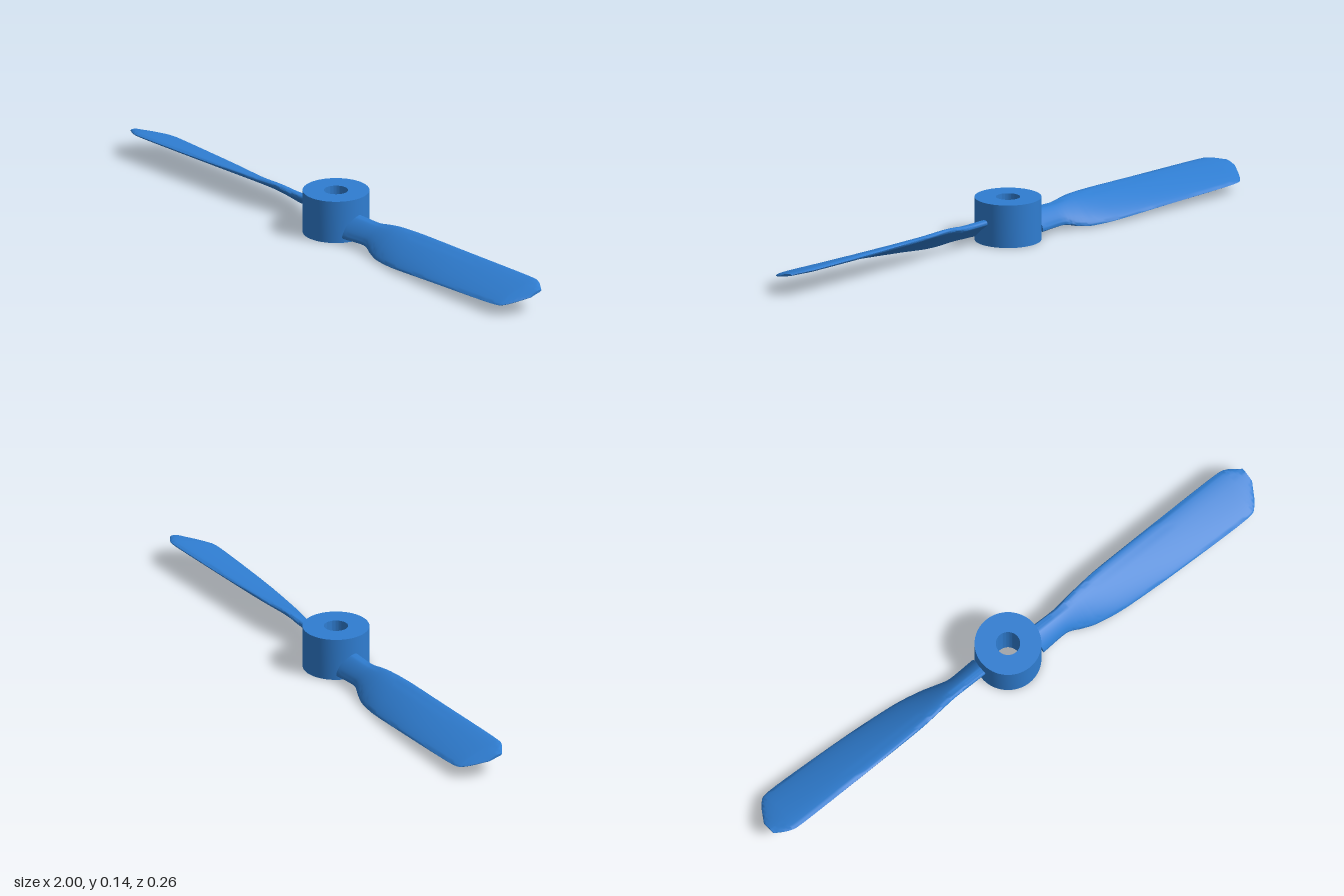
import * as THREE from 'three';
import { toCreasedNormals } from 'three/addons/utils/BufferGeometryUtils.js';

const HUB_RADIUS = 0.11, HUB_HEIGHT = 0.145, BORE_RADIUS = 0.04;

// Blade stations: x, front edge z and y, back edge z and y, thickness
const STATIONS = [
  [0.10, 0.062, 0.018, -0.014, 0.082, 0.026],
  [0.20, 0.058, 0.021, -0.014, 0.080, 0.025],
  [0.25, 0.075, 0.011, -0.018, 0.087, 0.023],
  [0.30, 0.092, 0.006, -0.024, 0.091, 0.022],
  [0.40, 0.110, 0.010, -0.033, 0.090, 0.020],
  [0.60, 0.123, 0.022, -0.038, 0.087, 0.018],
  [0.90, 0.130, 0.034, -0.042, 0.085, 0.015],
  [0.955, 0.112, 0.040, -0.034, 0.083, 0.013],
  [1.00, 0.045, 0.060, -0.005, 0.074, 0.008],
];

// Loft a twisted, slightly cambered section along x and cap both ends
function bladeGeometry(rings = 64, sides = 28) {
  const curve = (pick) => new THREE.CatmullRomCurve3(
    STATIONS.map(pick), false, 'catmullrom', 0.4);
  const front = curve((s) => new THREE.Vector3(s[0], s[2], s[1]));
  const back = curve((s) => new THREE.Vector3(s[0], s[4], s[3]));
  const thick = curve((s) => new THREE.Vector3(s[0], s[5], 0));
  const power = (v) => Math.sign(v) * Math.abs(v) ** 0.8;
  const positions = [], index = [];

  for (let i = 0; i <= rings; i++) {
    const u = i / rings;
    const f = front.getPoint(u), b = back.getPoint(u), t = thick.getPoint(u).y;
    const mid = f.clone().add(b).multiplyScalar(0.5);
    const half = f.clone().sub(b).multiplyScalar(0.5);
    const normal = new THREE.Vector3(0, half.z, -half.y).normalize();
    for (let j = 0; j < sides; j++) {
      const a = (j / sides) * Math.PI * 2;
      const c = power(Math.cos(a));
      const lift = power(Math.sin(a)) * t * (0.5 - 0.12 * c) + 0.25 * t * (1 - c * c);
      const p = mid.clone().addScaledVector(half, c).addScaledVector(normal, lift);
      positions.push(p.x, p.y, p.z);
    }
  }
  const at = (i, j) => i * sides + (j % sides);
  for (let i = 0; i < rings; i++) {
    for (let j = 0; j < sides; j++) {
      index.push(at(i, j), at(i + 1, j), at(i, j + 1));
      index.push(at(i + 1, j), at(i + 1, j + 1), at(i, j + 1));
    }
  }
  for (let j = 1; j < sides - 1; j++) {
    index.push(at(0, 0), at(0, j), at(0, j + 1));
    index.push(at(rings, 0), at(rings, j + 1), at(rings, j));
  }
  const geometry = new THREE.BufferGeometry();
  geometry.setAttribute('position', new THREE.Float32BufferAttribute(positions, 3));
  geometry.setIndex(index);
  return toCreasedNormals(geometry, 0.9);
}

// Closed ring profile turned around the vertical axis
function hubGeometry() {
  const profile = [
    [BORE_RADIUS, 0], [HUB_RADIUS, 0], [HUB_RADIUS, HUB_HEIGHT],
    [BORE_RADIUS, HUB_HEIGHT], [BORE_RADIUS, 0],
  ].map(([r, y]) => new THREE.Vector2(r, y));
  return toCreasedNormals(new THREE.LatheGeometry(profile, 64), 0.6);
}

export function createModel() {
  const blue = new THREE.MeshStandardMaterial({ color: 0x2f7dd1 });
  blue.name = 'blue';

  const group = new THREE.Group();
  group.name = 'propeller';

  const hub = new THREE.Mesh(hubGeometry(), blue);
  hub.name = 'hub';
  group.add(hub);

  // Two identical blades, half a turn apart
  const blade = bladeGeometry();
  ['leftBlade', 'rightBlade'].forEach((name, i) => {
    const mesh = new THREE.Mesh(blade, blue);
    mesh.name = name;
    mesh.rotation.y = i * Math.PI;
    group.add(mesh);
  });
  return group;
}
